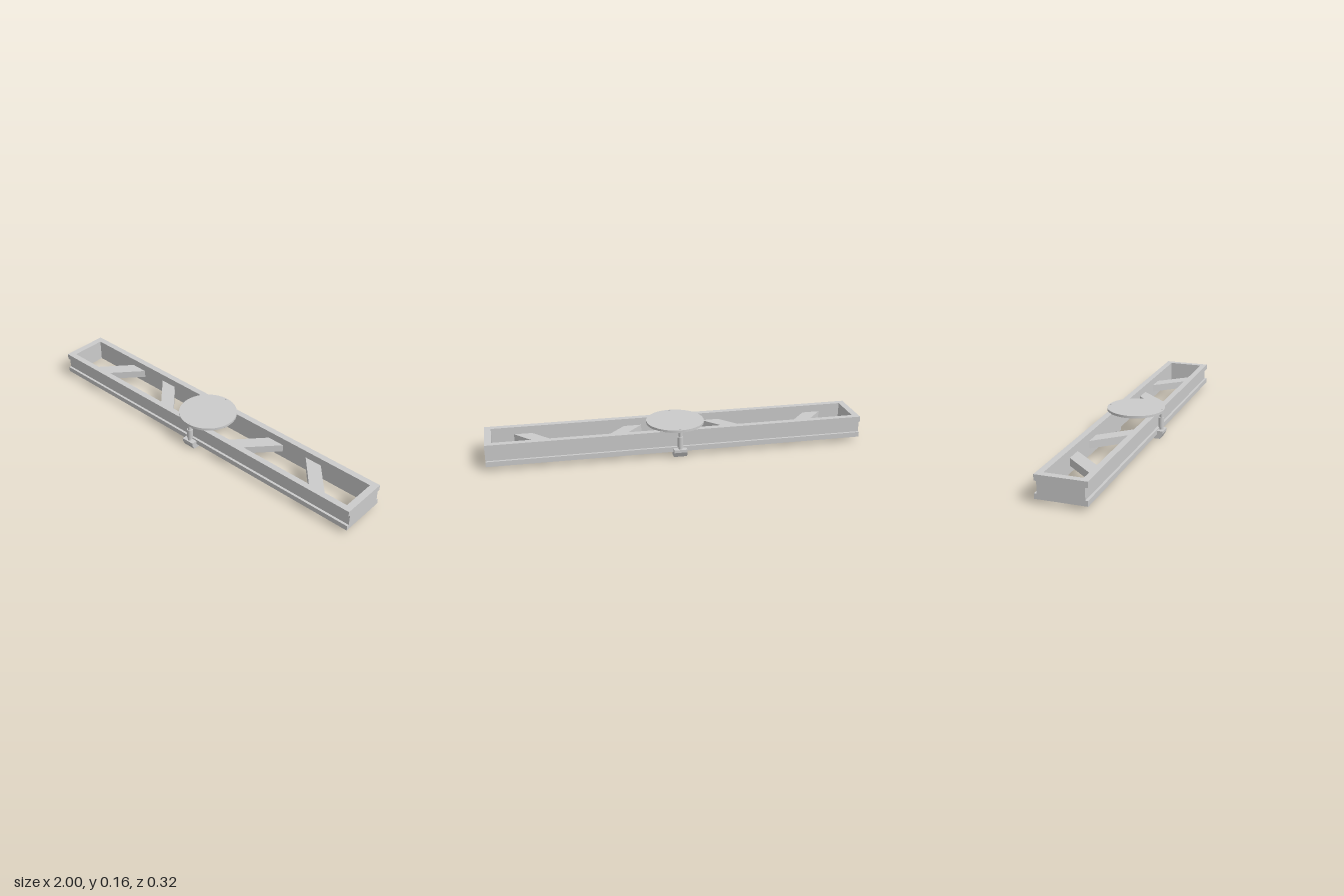
import * as THREE from 'three';

const material = new THREE.MeshStandardMaterial({ color: 0xcccccc });

// Extrudes a [z, y] profile along x, from x0 to x1
function alongX(points, x0, x1) {
  const shape = new THREE.Shape(points.map(([z, y]) => new THREE.Vector2(-z, y)));
  const geo = new THREE.ExtrudeGeometry(shape, { depth: x1 - x0, bevelEnabled: false });
  return geo.rotateY(Math.PI / 2).translate(x0, 0, 0);
}

export function createModel() {
  const model = new THREE.Group();
  const add = (name, geo, parent = model) => {
    const mesh = new THREE.Mesh(geo, material);
    mesh.name = name;
    parent.add(mesh);
    return mesh;
  };
  const cylinder = (r, y0, y1, z, sides = 24) =>
    new THREE.CylinderGeometry(r, r, y1 - y0, sides).translate(0, (y0 + y1) / 2, z);

  const bottom = 0.023, top = 0.14, outer = 0.128, inner = 0.095, endX = 0.965;

  // Outer side of the frame with its long groove
  const grooved = [[outer, bottom], [outer, 0.05], [0.115, 0.05],
    [0.115, 0.11], [outer, 0.11], [outer, top]];
  const mirrored = grooved.map(([z, y]) => [-z, y]).reverse();

  // Side rails
  const rail = [[inner, bottom], ...grooved, [inner, top]];
  for (const s of [1, -1]) {
    add(s > 0 ? 'frontRail' : 'backRail',
      alongX(rail.map(([z, y]) => [z * s, y]), -endX, endX));
  }

  // End plates carry the same outline
  add('leftEndPlate', alongX([...grooved, ...mirrored], endX, 1));
  add('rightEndPlate', alongX([...grooved, ...mirrored], -1, -endX));

  // Diagonal braces: [x at front, x at back], 0.095 wide
  const half = 0.0475;
  for (const [front, back] of [[-0.8, -0.63], [-0.215, -0.39], [0.215, 0.39], [0.8, 0.63]]) {
    const shape = new THREE.Shape([
      new THREE.Vector2(front - half, -inner), new THREE.Vector2(front + half, -inner),
      new THREE.Vector2(back + half, inner), new THREE.Vector2(back - half, inner),
    ]);
    const geo = new THREE.ExtrudeGeometry(shape, { depth: 0.04, bevelEnabled: false });
    add('diagonalBrace', geo.rotateX(-Math.PI / 2).translate(0, 0.06, 0));
  }

  // Round top plate
  add('topDisc', cylinder(0.154, 0.139, 0.152, 0, 64));

  // Clamps on both sides: hooked foot, rod, sleeve and screw tip
  const foot = [[0.1, 0], [0.145, 0], [0.16, 0.028], [0.16, 0.043],
    [outer, 0.043], [outer, bottom], [0.1, bottom]];
  for (const s of [1, -1]) {
    const clamp = new THREE.Group();
    clamp.name = s > 0 ? 'frontClamp' : 'backClamp';
    add('clampFoot', alongX(foot.map(([z, y]) => [z * s, y]), -0.035, 0.035), clamp);
    add('clampRod', cylinder(0.01, 0.043, 0.139, 0.142 * s), clamp);
    add('clampSleeve', cylinder(0.015, 0.056, 0.11, 0.14 * s), clamp);
    add('clampCollar', cylinder(0.012, 0.134, 0.14, 0.142 * s), clamp);
    add('screwTip', cylinder(0.005, 0.15, 0.155, 0.145 * s, 12), clamp);
    model.add(clamp);
  }
  return model;
}
